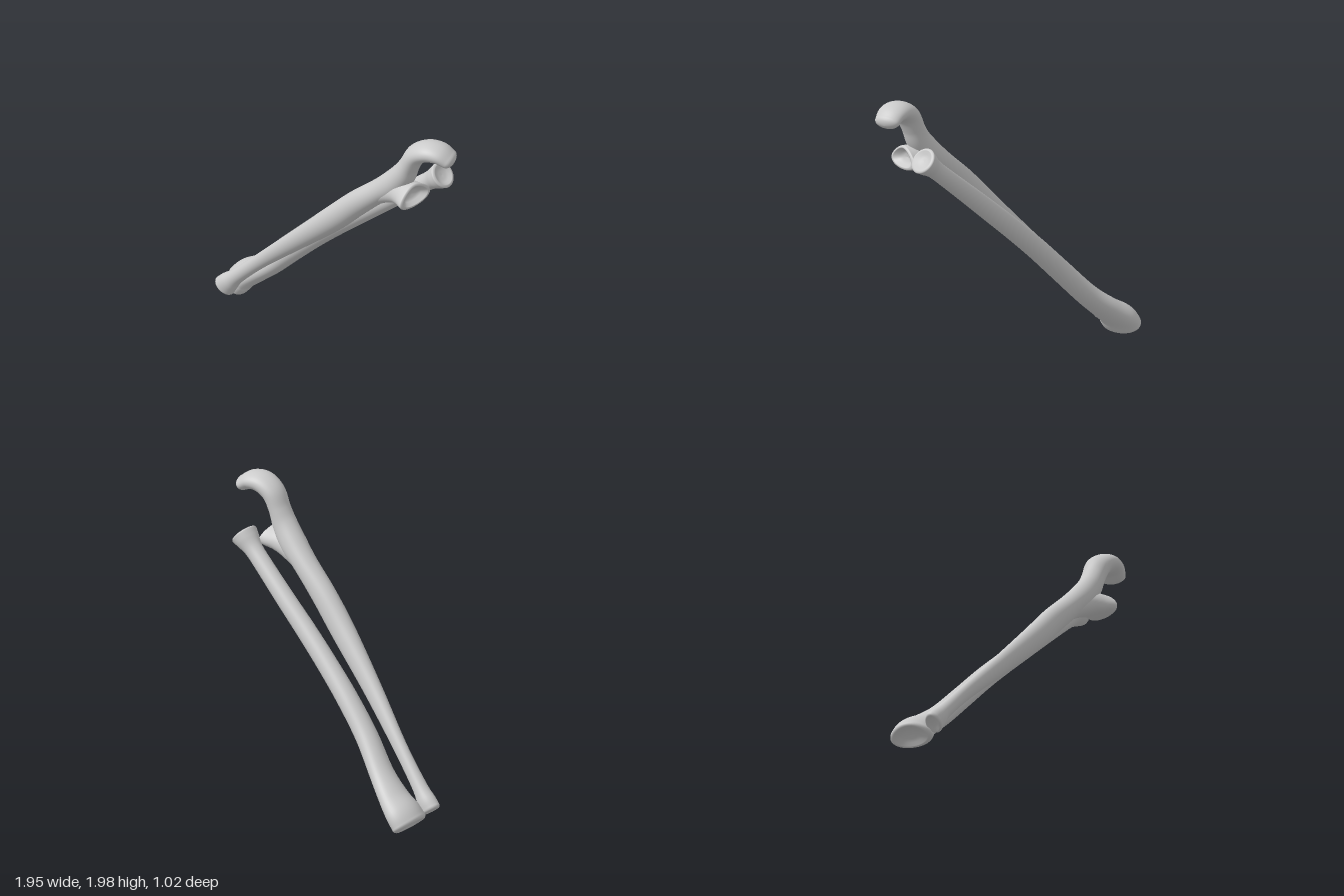
import * as THREE from 'three';

const SIDES = 40;
const material = new THREE.MeshStandardMaterial({ color: 0xcccccc, roughness: 0.7 });

// Lofts smooth oval sections [x, y, z, half width, half depth, taper] along a curve.
// Caps: { bulge, dish } give the rounding length and the hollow of each end.
function loft(name, sections, startCap, endCap) {
  const path = new THREE.CatmullRomCurve3(
    sections.map((s) => new THREE.Vector3(s[0], s[1], s[2])), false, 'catmullrom', 0.5);
  const size = new THREE.CatmullRomCurve3(
    sections.map((s) => new THREE.Vector3(s[3], s[4], s[5] || 0)), false, 'catmullrom', 0.5);
  const positions = [];
  const indices = [];
  const zAxis = new THREE.Vector3(0, 0, 1);

  function ring(t, scale, shift) {
    const T = path.getTangent(t);
    const U = zAxis.clone().cross(T).normalize();
    const V = T.clone().cross(U);
    const c = path.getPoint(t).addScaledVector(T, shift);
    const s = size.getPoint(t);
    for (let j = 0; j < SIDES; j++) {
      const a = (j / SIDES) * Math.PI * 2;
      const u = Math.cos(a);
      const v = Math.sin(a) * (1 - s.z * u);
      const p = c.clone()
        .addScaledVector(U, u * s.x * scale)
        .addScaledVector(V, v * s.y * scale);
      positions.push(p.x, p.y, p.z);
    }
  }

  // Cap rings run from the rim towards the middle
  const capRings = ({ bulge, dish = 0, round = false }) => {
    const rings = [];
    for (let i = 1; i <= 6; i++) {
      const a = (i / 6) * Math.PI / 2;
      const scale = round ? Math.cos(a) : 1 - 0.22 * (1 - Math.cos(a));
      rings.push([Math.max(scale, 0.001), bulge * Math.sin(a)]);
    }
    if (!round) {
      for (const r of [0.55, 0.3, 0.001]) rings.push([r, bulge - dish * (1 - r * r)]);
    }
    return rings;
  };

  const steps = (sections.length - 1) * 8;
  capRings(startCap).reverse().forEach(([s, d]) => ring(0, s, -d));
  for (let i = 0; i <= steps; i++) ring(i / steps, 1, 0);
  capRings(endCap).forEach(([s, d]) => ring(1, s, d));

  const rings = positions.length / 3 / SIDES;
  for (let i = 0; i < rings - 1; i++) {
    for (let j = 0; j < SIDES; j++) {
      const k = (j + 1) % SIDES;
      const a = i * SIDES + j, b = i * SIDES + k;
      indices.push(a, b, a + SIDES, b, b + SIDES, a + SIDES);
    }
  }
  const geometry = new THREE.BufferGeometry();
  geometry.setAttribute('position', new THREE.Float32BufferAttribute(positions, 3));
  geometry.setIndex(indices);
  geometry.computeVertexNormals();
  const mesh = new THREE.Mesh(geometry, material);
  mesh.name = name;
  return mesh;
}

export function createModel() {
  const model = new THREE.Group();
  model.name = 'forearmBones';

  // Ulna: slim shaft that widens and curls over into the elbow hook
  const ulna = new THREE.Group();
  ulna.name = 'ulna';
  ulna.add(loft('ulnaShaftAndHook', [
    [-0.91, 0.135, -0.165, 0.078, 0.06],
    [-0.875, 0.18, -0.155, 0.07, 0.06],
    [-0.80, 0.265, -0.13, 0.053, 0.05],
    [-0.60, 0.475, -0.06, 0.052, 0.043],
    [-0.30, 0.78, 0.06, 0.07, 0.056],
    [0.00, 1.08, 0.165, 0.088, 0.075],
    [0.20, 1.29, 0.22, 0.088, 0.08],
    [0.38, 1.46, 0.265, 0.082, 0.085],
    [0.50, 1.57, 0.30, 0.092, 0.09],
    [0.585, 1.68, 0.325, 0.085, 0.085],
    [0.635, 1.78, 0.335, 0.07, 0.085],
    [0.69, 1.88, 0.345, 0.07, 0.095],
    [0.775, 1.932, 0.355, 0.068, 0.104],
    [0.86, 1.934, 0.355, 0.062, 0.103],
    [0.925, 1.9, 0.35, 0.052, 0.092],
  ], { bulge: 0.02, dish: 0.01 }, { bulge: 0.045, round: true }));

  // Flared lower lip of the elbow notch
  ulna.add(loft('ulnaNotchLip', [
    [0.25, 1.33, 0.23, 0.06, 0.06],
    [0.40, 1.455, 0.275, 0.07, 0.07],
    [0.52, 1.525, 0.31, 0.08, 0.085, 0.1],
    [0.61, 1.56, 0.345, 0.085, 0.11, 0.25],
    [0.685, 1.57, 0.378, 0.082, 0.135, 0.35],
  ], { bulge: 0.02, round: true }, { bulge: 0.012, dish: 0.045 }));
  model.add(ulna);

  // Radius: round dished head at the elbow, broad end at the wrist
  const radius = new THREE.Group();
  radius.name = 'radius';
  radius.add(loft('radiusBone', [
    [-0.87, 0.095, -0.35, 0.095, 0.155, 0.15],
    [-0.82, 0.15, -0.345, 0.092, 0.15, 0.1],
    [-0.72, 0.225, -0.315, 0.08, 0.125],
    [-0.58, 0.35, -0.255, 0.072, 0.097],
    [-0.40, 0.55, -0.17, 0.073, 0.083],
    [-0.20, 0.755, -0.105, 0.073, 0.076],
    [0.00, 0.94, -0.05, 0.072, 0.07],
    [0.20, 1.115, 0.0, 0.07, 0.067],
    [0.40, 1.285, 0.045, 0.066, 0.064],
    [0.60, 1.455, 0.095, 0.062, 0.062],
    [0.70, 1.54, 0.12, 0.064, 0.064],
    [0.76, 1.59, 0.137, 0.082, 0.085],
    [0.795, 1.62, 0.146, 0.094, 0.094],
  ], { bulge: 0.025, dish: 0.02 }, { bulge: 0.012, dish: 0.02 }));
  model.add(radius);

  return model;
}
